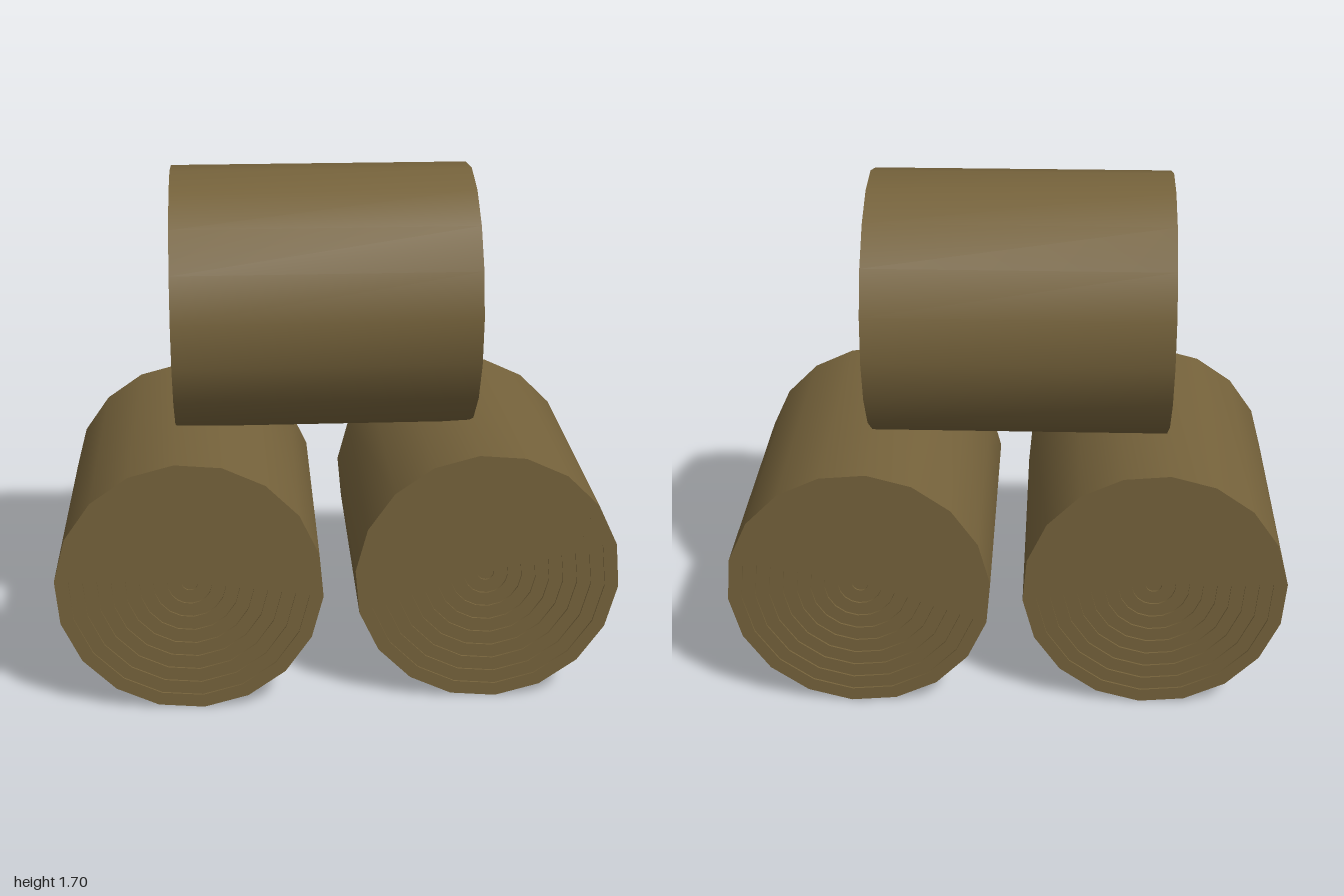
import * as THREE from 'three';
import { toCreasedNormals } from 'three/addons/utils/BufferGeometryUtils.js';

const RADIUS = 0.435;
const HALF_LENGTH = 0.49;
const RINGS = 9;
const STEP = 0.006; // each growth ring sits a little deeper than the one outside it

// Half profile of one sawn end, from the axis outwards to the rim
function endProfile() {
  const points = [];
  const ringWidth = RADIUS / (RINGS + 0.6);
  let r = 0;
  for (let i = 0; i <= RINGS; i++) {
    const y = HALF_LENGTH - STEP * (RINGS - i);
    points.push(new THREE.Vector2(r, y));
    r = i === RINGS ? RADIUS : ringWidth * (i + 0.6);
    points.push(new THREE.Vector2(r, y));
  }
  return points;
}

function logGeometry() {
  const top = endProfile();
  const bottom = top.map((p) => new THREE.Vector2(p.x, -p.y));
  const lathe = new THREE.LatheGeometry([...bottom, ...top.reverse()], 18, THREE.MathUtils.degToRad(5));
  lathe.rotateX(Math.PI / 2); // lay the log along z
  return toCreasedNormals(lathe, 0.6);
}

export function createModel() {
  const model = new THREE.Group();
  model.name = 'logPile';

  const wood = new THREE.MeshStandardMaterial({ color: 0x75623b });
  wood.name = 'brown wood';
  const geometry = logGeometry();

  // Two parallel logs on the ground, one laid across them
  const logs = [
    ['backLog', -0.34, 0.4325, -0.35, -0.82],
    ['frontLog', 0.34, 0.4325, 0.345, -0.82],
    ['topLog', -0.02, 1.265, -0.03, 0.75],
  ];
  for (const [name, x, y, z, turn] of logs) {
    const log = new THREE.Mesh(geometry, wood);
    log.name = name;
    log.position.set(x, y, z);
    log.rotation.y = turn;
    model.add(log);
  }
  return model;
}
